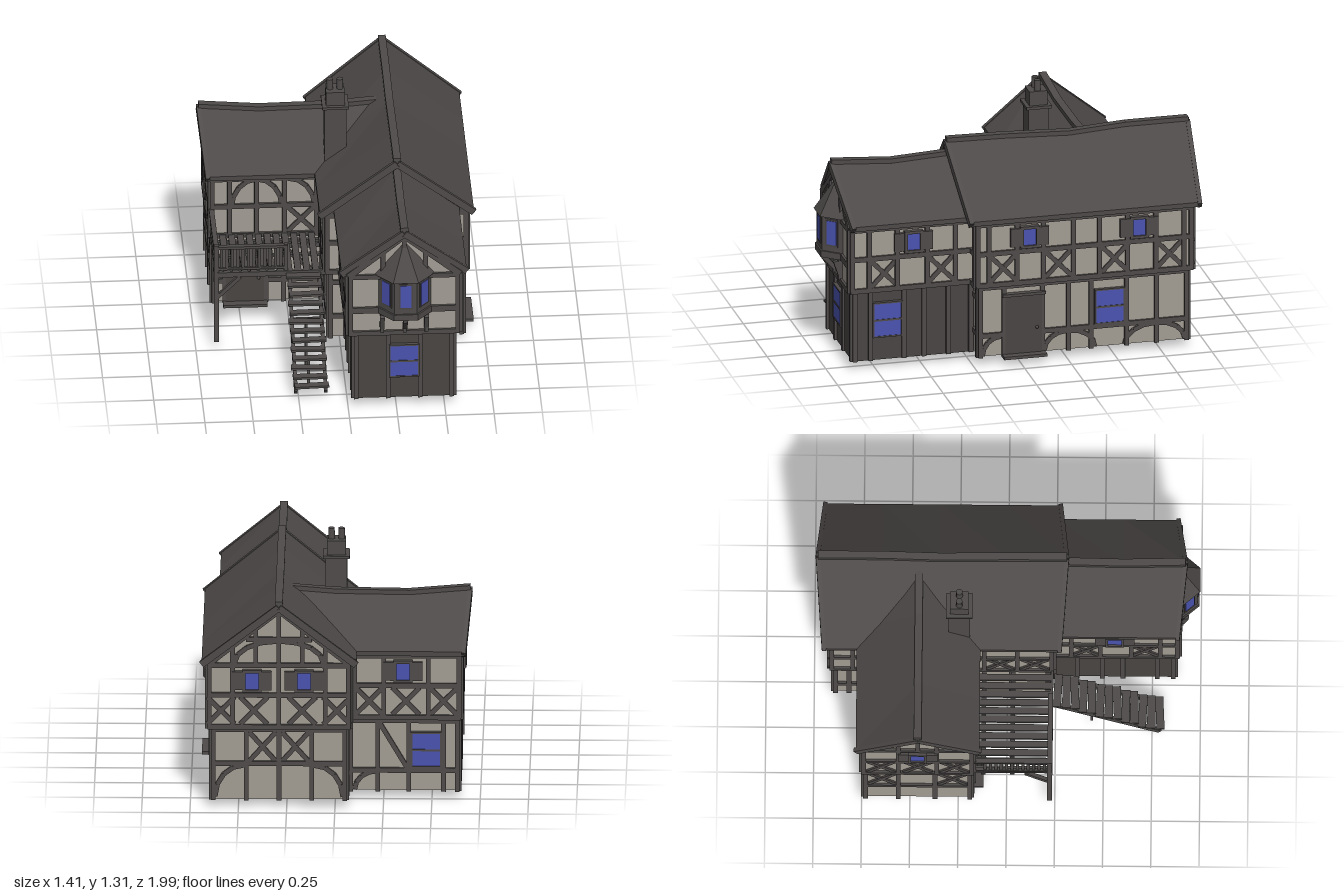
import * as THREE from 'three';
import { mergeGeometries } from 'three/addons/utils/BufferGeometryUtils.js';

const mat = (name, color) => Object.assign(new THREE.MeshStandardMaterial({ color }), { name });

export function createModel() {
  const root = new THREE.Group();
  root.name = 'timberFramedHouse';
  const plaster = mat('plaster', 0xa29c93);
  const wood = mat('timber', 0x4f4b4a);
  const panel = mat('darkPanel', 0x494543);
  const tiles = mat('roofTiles', 0x4d4948);
  const glass = mat('windowBlue', 0x4a53b0);
  plaster.side = panel.side = THREE.DoubleSide;
  const V = (x, y, z) => new THREE.Vector3(x, y, z);

  const add = (name, geos, material, parent = root) => {
    const list = [].concat(geos).map(g => (g.index ? g.toNonIndexed() : g));
    const m = new THREE.Mesh(list.length > 1 ? mergeGeometries(list) : list[0], material);
    m.name = name;
    parent.add(m);
    return m;
  };
  const box = (x0, x1, y0, y1, z0, z1) => new THREE.BoxGeometry(x1 - x0, y1 - y0, z1 - z0)
    .translate((x0 + x1) / 2, (y0 + y1) / 2, (z0 + z1) / 2);
  // Square beam between two points
  const beam = (p, q, w, h = w) => {
    const m = new THREE.Matrix4().lookAt(p, q, V(0, 1, 0));
    m.setPosition(p.clone().add(q).multiplyScalar(0.5));
    return new THREE.BoxGeometry(w, h, p.distanceTo(q)).applyMatrix4(m);
  };
  // Faceted surface through open or closed rings of points
  const loft = (rings, closed, extra = []) => {
    const pos = [];
    const tri = (...ps) => ps.forEach(p => pos.push(p.x, p.y, p.z));
    const quad = (a, b, c, d) => { tri(a, b, c); tri(a, c, d); };
    for (let i = 0; i + 1 < rings.length; i++) {
      const n = rings[i].length;
      for (let j = 0; j < (closed ? n : n - 1); j++) {
        const k = (j + 1) % n;
        quad(rings[i][j], rings[i][k], rings[i + 1][k], rings[i + 1][j]);
      }
    }
    extra.forEach(q => quad(...q));
    const g = new THREE.BufferGeometry();
    g.setAttribute('position', new THREE.Float32BufferAttribute(pos, 3));
    g.computeVertexNormals();
    return g;
  };

  // Ground floor walls, open underneath
  const lower = (name, x0, x1, z0, z1, material) => {
    const g = box(x0, x1, 0.045, 0.44, z0, z1);
    g.setIndex([...g.index.array].filter((_, i) => i < 12 || i > 23));
    add(name, g, material);
  };
  lower('mainLowerWalls', -0.06, 0.64, -0.9, 0.22, plaster);
  lower('frontLowerWalls', 0.03, 0.55, 0.225, 0.87, panel);
  lower('wingLowerWalls', -0.64, -0.065, -0.74, -0.18, plaster);

  // Upper floor walls with gables
  const upper = (name, hw, apex, t0, t1) => {
    const s = new THREE.Shape([[-hw, 0.43], [hw, 0.43], [hw, 0.79], [0, apex], [-hw, 0.79]]
      .map(p => new THREE.Vector2(...p)));
    return add(name, new THREE.ExtrudeGeometry(s, { depth: t1 - t0, bevelEnabled: false }).translate(0, 0, t0), plaster);
  };
  upper('mainUpperWalls', 0.37, 1.08, -0.92, 0.24).position.x = 0.29;
  upper('frontUpperWalls', 0.29, 1.01, 0.2, 0.89).position.x = 0.29;
  const wingWalls = upper('wingUpperWalls', 0.29, 1.0, -0.65, 0);
  wingWalls.rotation.y = Math.PI / 2;
  wingWalls.position.z = -0.46;

  // Sagging roofs; each station is [eave position, ridge position, ridge height]
  const roof = (name, hw, stations, gables) => {
    const g = new THREE.Group();
    g.name = name;
    root.add(g);
    const rings = stations.map(([e, r, y]) => [V(hw, 0.81, e), V(0, y, r), V(-hw, 0.81, e),
      V(-hw, 0.785, e), V(0, y - 0.035, r), V(hw, 0.785, e)]);
    const a = rings[0], b = rings[rings.length - 1];
    add('tileSlopes', loft(rings, true, [[b[0], b[1], b[4], b[5]], [b[1], b[2], b[3], b[4]],
      [a[5], a[4], a[1], a[0]], [a[4], a[3], a[2], a[1]]]), tiles, g);
    const trim = [];
    for (let i = 0; i + 1 < rings.length; i++) trim.push(beam(rings[i][1], rings[i + 1][1], 0.04, 0.024));
    gables.forEach(i => [0, 2].forEach(k => trim.push(beam(
      rings[i][k].clone().add(V(0, -0.018, 0)), rings[i][1].clone().add(V(0, -0.018, 0)), 0.022, 0.036))));
    add('ridgeAndBargeBoards', trim, wood, g);
    return g;
  };
  roof('mainRoof', 0.4, [[-0.95, -0.985, 1.13], [-0.65, -0.65, 1.13], [-0.35, -0.35, 1.11],
    [0, 0, 1.125], [0.27, 0.305, 1.13]], [0, 4]).position.x = 0.29;
  roof('frontRoof', 0.325, [[0.25, 0.25, 1.06], [0.6, 0.6, 1.042], [0.88, 0.92, 1.065]], [2]).position.x = 0.29;
  const wingRoof = roof('wingRoof', 0.32, [[-0.665, -0.695, 1.062], [-0.38, -0.38, 1.035], [0, 0, 1.04], [0.25, 0.25, 1.06]], [0]);
  wingRoof.rotation.y = Math.PI / 2;
  wingRoof.position.z = -0.46;

  // One face of the house; "a" is the world coordinate along it
  const face = (name, side, d) => {
    const g = new THREE.Group();
    g.name = name;
    root.add(g);
    const s = side === 'right' || side === 'back' ? -1 : 1;
    g.rotation.y = { front: 0, right: Math.PI / 2, back: Math.PI, left: -Math.PI / 2 }[side];
    if (side === 'front' || side === 'back') g.position.z = d; else g.position.x = d;
    const bars = [], panes = [], doors = [];
    const f = {
      bar(a0, y0, a1, y1, w = 0.024, depth = 0.026) {
        const dx = s * (a1 - a0), dy = y1 - y0;
        bars.push(new THREE.BoxGeometry(Math.hypot(dx, dy), w, depth)
          .rotateZ(Math.atan2(dy, dx)).translate(s * (a0 + a1) / 2, (y0 + y1) / 2, 0));
        return f;
      },
      rails(a0, a1, ...ys) { ys.forEach(y => f.bar(a0, y, a1, y, 0.026, 0.026)); return f; },
      studs(y0, y1, ...as) { as.forEach(a => f.bar(a, y0, a, y1)); return f; },
      cross(y0, y1, w, ...as) {
        as.forEach(a => f.bar(a - w, y0, a + w, y1, 0.024, 0.02).bar(a - w, y1, a + w, y0, 0.024, 0.018));
        return f;
      },
      // Curved brace rising from (a0,y0) to (a1,y1)
      arc(a0, y0, a1, y1) {
        const at = i => [a0 + (a1 - a0) * (1 - Math.cos(i * Math.PI / 8)), y0 + (y1 - y0) * Math.sin(i * Math.PI / 8)];
        for (let i = 0; i < 4; i++) f.bar(...at(i), ...at(i + 1), 0.024, 0.02);
        return f;
      },
      // Timbered storey under the eaves
      storey(a0, a1, studs, crosses) {
        return f.rails(a0, a1, 0.445, 0.618, 0.78).studs(0.445, 0.785, ...studs).cross(0.46, 0.605, 0.07, ...crosses);
      },
      // Pane recessed in a four-sided surround
      pane(u, w, y0, y1, b, depth) {
        bars.push(box(u - w - b, u + w + b, y1, y1 + b, 0, depth), box(u - w - b, u + w + b, y0 - b, y0, 0, depth),
          box(u - w - b, u - w, y0, y1, 0, depth), box(u + w, u + w + b, y0, y1, 0, depth));
        panes.push(box(u - w, u + w, y0, y1, 0.013, 0.017));
      },
      shutters(a) {
        const u = s * a;
        f.pane(u, 0.034, 0.652, 0.742, 0.015, 0.026);
        for (const k of [-0.072, 0.072]) bars.push(box(u + k - 0.03, u + k + 0.03, 0.648, 0.748, 0, 0.02));
      },
      window(a) {
        f.pane(s * a, 0.072, 0.18, 0.357, 0.008, 0.02);
        bars.push(box(s * a - 0.072, s * a + 0.072, 0.262, 0.272, 0, 0.02));
      },
      door(a) {
        const u = s * a;
        doors.push(box(u - 0.098, u + 0.098, 0.05, 0.37, 0, 0.018));
        bars.push(box(u - 0.115, u + 0.115, 0.37, 0.385, 0, 0.03), box(u - 0.115, u + 0.115, 0.036, 0.052, 0, 0.06),
          new THREE.SphereGeometry(0.009, 8, 6).translate(u + 0.07, 0.19, 0.022));
      },
      // Gable timbers beneath a roof centred at c
      gable(c, hw, apex, offsets) {
        for (const k of [-1, 1]) {
          f.bar(c + k * hw, 0.785, c, apex, 0.035);
          for (const o of offsets) f.studs(0.78, 0.79 + (apex - 0.79) * (1 - o / hw), c + k * o);
        }
        return f.studs(0.78, apex, c);
      },
      done() {
        add('timbers', bars, wood, g);
        if (panes.length) add('panes', panes, glass, g);
        if (doors.length) add('door', doors, panel, g);
      },
    };
    return f;
  };
  const build = (name, side, d, fn) => { const f = face(name, side, d); fn(f); f.done(); };

  // Upper storeys
  build('frontGableFace', 'front', 0.89, f => f.rails(0, 0.58, 0.445, 0.78).bar(0, 0.582, 0.58, 0.582, 0.034)
    .studs(0.445, 0.785, 0.012, 0.568).gable(0.29, 0.29, 1.02, [0.11]));
  build('mainFrontFace', 'front', 0.24, f => f.storey(-0.08, 0.66, [-0.07, 0.65], []).gable(0.29, 0.37, 1.08, []));
  build('mainBackFace', 'back', -0.92, f => {
    f.storey(-0.08, 0.66, [-0.07, 0.05, 0.29, 0.53, 0.65], [-0.01, 0.17, 0.42, 0.59]).gable(0.29, 0.37, 1.08, [0.12, 0.24])
      .rails(0.12, 0.46, 0.92).arc(0.06, 0.79, 0.28, 0.91).arc(0.52, 0.79, 0.3, 0.91);
    [0.43, 0.16].forEach(f.shutters);
  });
  build('mainRightFace', 'right', 0.66, f => {
    f.storey(-0.92, 0.24, [0.23, 0.17, 0.02, -0.12, -0.28, -0.42, -0.57, -0.72, -0.87, -0.91], [0.095, -0.2, -0.5, -0.795]);
    [-0.045, -0.63].forEach(f.shutters);
  });
  build('mainLeftFace', 'left', -0.08, f => f.storey(-0.92, 0.24, [-0.91, -0.8, -0.12, 0.05, 0.23], [0.14, -0.04]));
  for (const [side, d] of [['right', 0.58], ['left', 0]]) build(side + 'FrontBlockFace', side, d, f => {
    f.storey(0.24, 0.89, [0.88, 0.79, 0.64, 0.48, 0.33], [0.71, 0.405]);
    f.shutters(0.555);
  });
  build('wingFrontFace', 'front', -0.17, f => f.storey(-0.65, -0.08, [-0.64, -0.55, -0.41, -0.265, -0.1], [-0.18])
    .arc(-0.54, 0.61, -0.41, 0.775).arc(-0.28, 0.61, -0.41, 0.775).arc(-0.11, 0.61, -0.25, 0.775));
  build('wingBackFace', 'back', -0.75, f => {
    f.storey(-0.65, -0.08, [-0.64, -0.48, -0.25, -0.1], [-0.56, -0.365, -0.175]);
    f.shutters(-0.35);
  });
  build('wingEndFace', 'left', -0.65, f => {
    f.storey(-0.75, -0.17, [-0.74, -0.56, -0.36, -0.18], [-0.65, -0.46, -0.27]).gable(-0.46, 0.29, 1.0, [0.1]);
    f.shutters(-0.46);
  });

  // Ground storeys
  build('shopFrontFace', 'front', 0.87, f => f.studs(0.045, 0.43, 0.042, 0.208, 0.374, 0.538).window(0.291));
  for (const [side, d] of [['right', 0.55], ['left', 0.03]]) build(side + 'ShopFace', side, d, f => {
    f.studs(0.045, 0.43, 0.858, 0.775, 0.597, 0.49, 0.36, 0.24);
    if (side === 'right') f.window(0.686);
  });
  build('mainLowerRightFace', 'right', 0.64, f => {
    f.rails(-0.9, 0.22, 0.425).rails(-0.9, -0.12, 0.16).rails(0.08, 0.22, 0.16)
      .studs(0.04, 0.43, 0.21, 0.085, -0.12, -0.26, -0.38, -0.57, -0.73, -0.89)
      .arc(0.2, 0.05, 0.1, 0.15).arc(-0.13, 0.05, -0.25, 0.15).arc(-0.4, 0.05, -0.26, 0.15)
      .arc(-0.56, 0.05, -0.72, 0.15).arc(-0.88, 0.05, -0.73, 0.15);
    f.door(-0.018);
    f.window(-0.478);
  });
  build('mainLowerBackFace', 'back', -0.9, f => f.rails(-0.06, 0.64, 0.425, 0.24)
    .studs(0.04, 0.43, -0.05, 0.12, 0.29, 0.46, 0.63).cross(0.25, 0.41, 0.07, 0.205, 0.375)
    .arc(0.62, 0.06, 0.47, 0.23).arc(-0.04, 0.06, 0.11, 0.23));
  build('mainLowerFrontFace', 'front', 0.22, f => f.rails(-0.06, 0.64, 0.37, 0.17).studs(0.04, 0.43, -0.05, 0.63));
  build('mainLowerLeftFace', 'left', -0.06, f => f.rails(-0.9, 0.22, 0.425, 0.17).studs(0.04, 0.43, 0.21, 0.02, -0.82, -0.89));
  build('wingLowerFrontFace', 'front', -0.18, f => {
    f.rails(-0.36, -0.06, 0.37, 0.17).rails(-0.64, -0.57, 0.37, 0.17).studs(0.04, 0.43, -0.63, -0.575, -0.36, -0.27, -0.07)
      .bar(-0.26, 0.35, -0.08, 0.18);
    f.door(-0.47);
  });
  build('wingLowerBackFace', 'back', -0.74, f => {
    f.rails(-0.64, -0.06, 0.425, 0.155).studs(0.04, 0.43, -0.63, -0.56, -0.38, -0.22, -0.08)
      .bar(-0.37, 0.17, -0.23, 0.41).arc(-0.1, 0.05, -0.22, 0.15);
    f.window(-0.47);
  });
  build('wingLowerEndFace', 'left', -0.64, f => f.rails(-0.74, -0.18, 0.425, 0.23)
    .studs(0.04, 0.43, -0.73, -0.56, -0.37, -0.19).cross(0.24, 0.41, 0.08, -0.645, -0.28));

  // Bay window: half-octagon rings scaled up its height
  const plan = [[-0.15, 0], [-0.06, 0.105], [0.06, 0.105], [0.15, 0]];
  const bayRing = ([y, k]) => plan.map(([x, z]) => V(0.293 + x * k, y, 0.88 + z * k));
  add('bayBody', loft([[0.565, 0.01], [0.565, 1.05], [0.6, 1.05], [0.6, 0.97], [0.79, 0.97]].map(bayRing)), wood);
  add('bayRoof', loft([[0.785, 0.9], [0.79, 1.1], [0.985, 0.02]].map(bayRing)), tiles);
  for (const [x, z, r] of [[0, 0.102, 0], [-0.096, 0.06, -0.862], [0.096, 0.06, 0.862]]) {
    const g = new THREE.Group();
    g.name = 'bayWindow';
    g.position.set(0.293 + x, 0.705, 0.88 + z);
    g.rotation.y = r;
    add('frame', box(-0.036, 0.036, -0.075, 0.075, -0.005, 0.003), panel, g);
    add('pane', box(-0.028, 0.028, -0.065, 0.065, 0, 0.006), glass, g);
    root.add(g);
  }
  add('bayBrackets', [0.175, 0.293, 0.405].flatMap(x => [box(x - 0.009, x + 0.009, 0.45, 0.57, 0.885, 0.91),
    beam(V(x, 0.48, 0.9), V(x, 0.555, x === 0.293 ? 0.97 : 0.925), 0.024)]), wood);

  // Chimney
  add('chimney', [box(-0.055, 0.057, 0.8, 1.165, -0.305, -0.195), box(-0.068, 0.07, 1.163, 1.178, -0.318, -0.182),
    box(-0.048, 0.05, 1.178, 1.255, -0.298, -0.202)], wood);
  add('chimneyPots', [-0.025, 0.027].map(x => new THREE.CylinderGeometry(0.017, 0.018, 0.06, 10).translate(x, 1.282, -0.25)), wood);

  // Balcony
  const deck = [box(-0.655, -0.08, 0.425, 0.453, 0.225, 0.238)];
  for (let i = 0; i < 12; i++) deck.push(box(-0.65 + i * 0.046, -0.616 + i * 0.046, 0.437, 0.452, -0.17, 0.23));
  for (const z of [-0.12, 0.03]) deck.push(box(-0.655, -0.08, 0.425, 0.437, z - 0.012, z + 0.012));
  add('balconyDeck', deck, wood);
  const rail = [box(-0.655, -0.275, 0.59, 0.605, 0.212, 0.238), box(-0.655, -0.275, 0.465, 0.477, 0.217, 0.233),
    box(-0.657, -0.631, 0.59, 0.605, -0.17, 0.238), box(-0.652, -0.636, 0.465, 0.477, -0.17, 0.233),
    box(-0.292, -0.272, 0.44, 0.61, 0.215, 0.235)];
  for (let i = 1; i < 13; i++) {
    const o = i * 0.028;
    rail.push(box(-0.652 + o, -0.636 + o, 0.475, 0.592, 0.221, 0.229), box(-0.648, -0.64, 0.475, 0.592, 0.217 - o, 0.233 - o));
  }
  add('balconyRailing', rail, wood);
  add('balconyPost', [box(-0.655, -0.63, 0.04, 0.61, 0.21, 0.235), beam(V(-0.64, 0.3, 0.222), V(-0.52, 0.42, 0.222), 0.02),
    beam(V(-0.642, 0.3, 0.222), V(-0.642, 0.42, 0.1), 0.02)], wood);

  // Stairs
  const stairs = [-0.265, -0.11].map(x => beam(V(x, 0.43, 0.235), V(x, 0.045, 0.79), 0.018, 0.03));
  for (let i = 0; i < 13; i++) {
    const j = (i * 7 % 5 - 2) * 0.003;
    stairs.push(new THREE.BoxGeometry(0.178, 0.012, 0.042).rotateY(j * 8).translate(-0.189 + j, 0.435 - i * 0.0295, 0.262 + i * 0.044));
  }
  for (const [z, y] of [[0.437, 0.285], [0.632, 0.155]])
    stairs.push(box(-0.197, -0.183, 0, y, z - 0.007, z + 0.007), box(-0.265, -0.11, y - 0.015, y, z - 0.007, z + 0.007));
  add('stairs', stairs, wood);
  return root;
}
